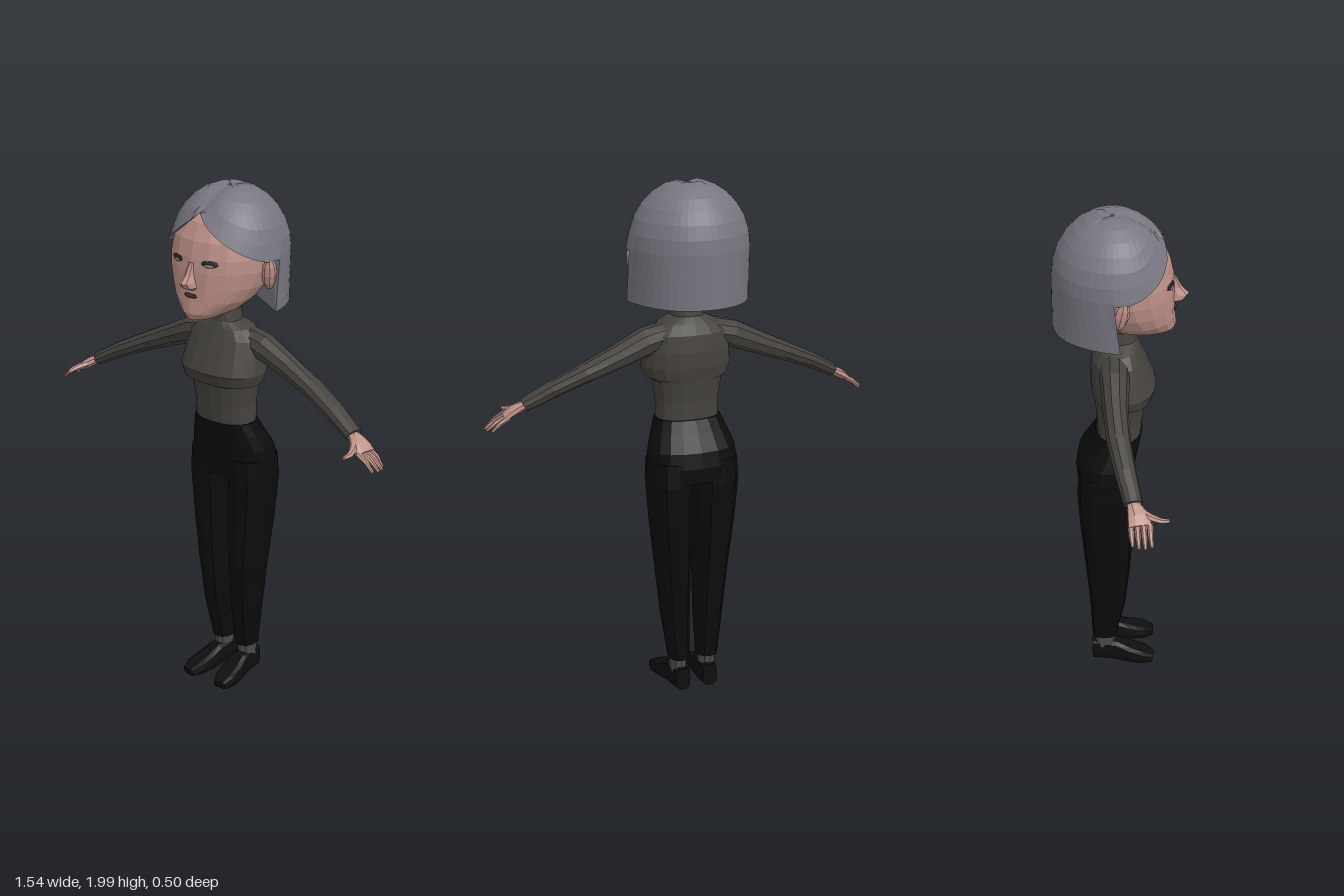
import * as THREE from 'three';

const V = (x, y, z) => new THREE.Vector3(x, y, z);
const mat = (color) => new THREE.MeshStandardMaterial({ color, flatShading: true, side: THREE.DoubleSide });
const M = {
  hair: mat(0x77757f), skin: mat(0xbd9188), sweater: mat(0x45423e), pants: mat(0x0c0c0c),
  sock: mat(0x4a4a4a), shoe: mat(0x0e0e0e), dark: mat(0x2a2426), lip: mat(0x4a2c2c), eye: mat(0x8d8083),
};

function mesh(name, geometry, material) {
  const m = new THREE.Mesh(geometry, material);
  m.name = name;
  return m;
}

// Skin a list of equal rings, optionally closing both ends
function loft(rings, caps = true) {
  const n = rings[0].length, pos = [], idx = [];
  rings.forEach((r) => r.forEach((p) => pos.push(p.x, p.y, p.z)));
  for (let i = 0; i < rings.length - 1; i++) {
    for (let j = 0; j < n; j++) {
      const a = i * n + j, b = i * n + (j + 1) % n;
      idx.push(a, b, b + n, a, b + n, a + n);
    }
  }
  if (caps) {
    [0, rings.length - 1].forEach((i) => {
      const c = rings[i].reduce((s, p) => s.add(p), V(0, 0, 0)).divideScalar(n);
      const k = pos.length / 3;
      pos.push(c.x, c.y, c.z);
      for (let j = 0; j < n; j++) {
        const a = i * n + j, b = i * n + (j + 1) % n;
        idx.push(...(i === 0 ? [k, b, a] : [k, a, b]));
      }
    });
  }
  const g = new THREE.BufferGeometry();
  g.setAttribute('position', new THREE.Float32BufferAttribute(pos, 3));
  g.setIndex(idx);
  g.computeVertexNormals();
  return g;
}

const power = (v, p) => Math.sign(v) * Math.abs(v) ** p;

// Upright body from rows of [y, centre x, half width, front z, back z]
function column(rows, n = 14, p = 0.85) {
  return loft(rows.map(([y, cx, hw, zf, zb]) => Array.from({ length: n }, (_, j) => {
    const a = (j / n) * Math.PI * 2;
    return V(cx + hw * power(Math.sin(a), p), y, (zf + zb) / 2 + (zf - zb) / 2 * power(Math.cos(a), p));
  })));
}

// Limb along a path of [x, y, z, vertical radius, sideways radius]
function limb(path, n = 8, p = 1) {
  const pts = path.map((q) => V(q[0], q[1], q[2]));
  return loft(path.map(([, , , ru, rw], i) => {
    const t = pts[Math.min(i + 1, pts.length - 1)].clone().sub(pts[Math.max(i - 1, 0)]).normalize();
    const w = t.clone().cross(V(0, 1, 0)).normalize(), u = w.clone().cross(t);
    return Array.from({ length: n }, (_, j) => {
      const a = ((j + 0.5) / n) * Math.PI * 2;
      const v = pts[i].clone().addScaledVector(u, ru * power(Math.cos(a), p)).addScaledVector(w, rw * power(Math.sin(a), p));
      v.y = Math.max(v.y, 0);
      return v;
    });
  }));
}

function blob(name, material, [x, y, z], [sx, sy, sz], w = 8, h = 6) {
  const m = mesh(name, new THREE.SphereGeometry(1, w, h), material);
  m.position.set(x, y, z);
  m.scale.set(sx, sy, sz);
  return m;
}

// Bob haircut: a dome whose lower edge follows the parting, temples and nape
function hairGeometry() {
  const n = 48, midY = 1.76, rows = 11, dome = 7;
  const rings = Array.from({ length: rows + 2 }, () => []);
  for (let j = 0; j < n; j++) {
    const a = (j / n) * Math.PI * 2;
    const s = Math.sin(a), c = Math.cos(a);
    const back = c < -0.05;
    const edge = back ? 1.56 : 1.915 - 0.165 * Math.min(1, Math.abs(s) / 0.97);
    const end = Math.acos(Math.min(1, (Math.max(edge, midY) - midY) / 0.24));
    const place = (y, r) => {
      const drop = Math.max(0, midY - y);
      const p = V(s * (r + 0.06 * drop), y, c * r * (c < 0 ? 0.98 : 0.96) - 0.025 + 0.28 * drop * s ** 4);
      if (p.z > -0.06) p.y -= 0.014 * Math.exp(-((p.x / 0.03) ** 2)) * (y > 1.92 ? 1 : 0);
      return p;
    };
    for (let i = 0; i <= rows; i++) {
      const phi = end * Math.max(0.02, Math.min(1, i / dome));
      let y = midY + 0.24 * Math.cos(phi), r = 0.225 * Math.sin(phi);
      if (i > dome) y += (edge - y) * (i - dome) / (rows - dome);
      if (!back && i >= dome) r *= 1.03;
      rings[i].push(place(y, r));
    }
    rings[rows + 1].push(back ? V(s * 0.1, 1.585, c * 0.1 - 0.04) : place(edge + 0.012, 0.86 * 0.225 * Math.sin(end)));
  }
  return loft(rings.reverse(), false);
}

function makeHead() {
  const g = new THREE.Group();
  g.name = 'head';
  g.add(mesh('face', column([
    [1.53, 0, 0.05, 0.195, -0.02], [1.555, 0, 0.095, 0.205, -0.05], [1.6, 0, 0.145, 0.2, -0.09],
    [1.65, 0, 0.175, 0.198, -0.14], [1.71, 0, 0.195, 0.198, -0.18], [1.76, 0, 0.2, 0.193, -0.19],
    [1.82, 0, 0.19, 0.18, -0.18], [1.88, 0, 0.155, 0.15, -0.15], [1.93, 0, 0.1, 0.09, -0.1],
  ], 18, 0.95), M.skin));
  g.add(mesh('nose', column([
    [1.642, 0, 0.018, 0.2, 0.17], [1.655, 0, 0.028, 0.232, 0.17], [1.675, 0, 0.024, 0.25, 0.17],
    [1.7, 0, 0.015, 0.225, 0.17], [1.745, 0, 0.012, 0.2, 0.17],
  ], 8), M.skin));
  g.add(blob('mouth', M.lip, [0, 1.622, 0.197], [0.032, 0.009, 0.008]));
  g.add(mesh('hair', hairGeometry(), M.hair));
  for (const s of [1, -1]) {
    const ear = blob('ear', M.skin, [s * 0.205, 1.7, 0.002], [0.026, 0.065, 0.03]);
    ear.rotation.set(0.2, 0, -s * 0.15);
    const lash = blob('eyelid', M.dark, [s * 0.075, 1.747, 0.178], [0.034, 0.013, 0.009]);
    const eye = blob('eye', M.eye, [s * 0.075, 1.742, 0.181], [0.024, 0.008, 0.009]);
    lash.rotation.y = eye.rotation.y = s * 0.35;
    g.add(ear, lash, eye);
  }
  return g;
}

// Everything on the model's left; mirrored for the right
function makeSide() {
  const g = new THREE.Group();
  g.add(mesh('sleeve', limb([
    [0.09, 1.425, -0.02, 0.05, 0.055], [0.17, 1.405, -0.02, 0.054, 0.054], [0.28, 1.358, -0.018, 0.045, 0.046],
    [0.4, 1.307, -0.008, 0.037, 0.043], [0.52, 1.252, 0.015, 0.032, 0.039], [0.625, 1.196, 0.04, 0.026, 0.034],
  ], 10), M.sweater));
  g.add(mesh('palm', limb([
    [0.6, 1.207, 0.035, 0.016, 0.022], [0.635, 1.19, 0.043, 0.018, 0.027],
    [0.665, 1.172, 0.057, 0.019, 0.042], [0.695, 1.152, 0.062, 0.014, 0.043],
  ]), M.skin));
  for (let i = 0; i < 4; i++) {
    const z = 0.03 + i * 0.022, reach = [0, 0.014, 0.016, 0.006][i];
    g.add(mesh('finger', limb([
      [0.685, 1.157, z, 0.01, 0.011], [0.72 + reach * 0.5, 1.137, z + 0.002, 0.009, 0.01],
      [0.75 + reach, 1.107, z + 0.006, 0.005, 0.006],
    ], 6), M.skin));
  }
  g.add(mesh('thumb', limb([
    [0.645, 1.18, 0.06, 0.013, 0.016], [0.668, 1.168, 0.105, 0.012, 0.014],
    [0.677, 1.162, 0.135, 0.01, 0.012], [0.672, 1.158, 0.163, 0.006, 0.008],
  ], 6), M.skin));
  g.add(mesh('trouserLeg', column([
    [0.125, 0.058, 0.04, -0.013, -0.11], [0.3, 0.068, 0.053, 0.022, -0.118], [0.5, 0.077, 0.064, 0.042, -0.135],
    [0.7, 0.087, 0.077, 0.05, -0.153], [0.86, 0.093, 0.084, 0.055, -0.163], [0.95, 0.088, 0.085, 0.055, -0.155],
  ], 12), M.pants));
  g.add(mesh('sock', column([[0.07, 0.06, 0.032, -0.02, -0.1], [0.135, 0.06, 0.033, -0.022, -0.1]], 10), M.sock));
  g.add(mesh('shoe', limb([
    [0.056, 0.046, -0.11, 0.046, 0.03], [0.058, 0.048, -0.06, 0.048, 0.037], [0.062, 0.046, -0.015, 0.046, 0.038],
    [0.07, 0.034, 0.04, 0.034, 0.045], [0.078, 0.025, 0.095, 0.025, 0.046], [0.082, 0.016, 0.135, 0.015, 0.028],
  ], 10, 0.6), M.shoe));
  return g;
}

export function createModel() {
  const model = new THREE.Group();
  model.name = 'standingFigure';
  model.add(makeHead());
  model.add(mesh('neck', column([[1.48, 0, 0.045, 0.045, -0.045], [1.6, 0, 0.047, 0.05, -0.05]], 12), M.skin));
  // Sweater with bust ledge, shoulders and high collar
  model.add(mesh('sweater', column([
    [1.08, 0, 0.122, 0.08, -0.085], [1.17, 0, 0.122, 0.088, -0.088], [1.25, 0, 0.135, 0.098, -0.098],
    [1.262, 0, 0.16, 0.122, -0.1], [1.305, 0, 0.173, 0.135, -0.108], [1.365, 0, 0.165, 0.112, -0.11],
    [1.43, 0, 0.152, 0.085, -0.103], [1.468, 0, 0.115, 0.07, -0.085], [1.492, 0, 0.062, 0.06, -0.06],
    [1.535, 0, 0.054, 0.056, -0.055],
  ], 18), M.sweater));
  model.add(mesh('trouserSeat', column([
    [0.87, 0, 0.174, 0.052, -0.16], [0.93, 0, 0.177, 0.056, -0.167], [0.99, 0, 0.169, 0.064, -0.157],
    [1.05, 0, 0.148, 0.076, -0.12], [1.1, 0, 0.128, 0.086, -0.092],
  ], 18), M.pants));
  const left = makeSide(), right = makeSide();
  left.name = 'leftLimbs';
  right.name = 'rightLimbs';
  right.scale.x = -1;
  model.add(left, right);
  return model;
}
